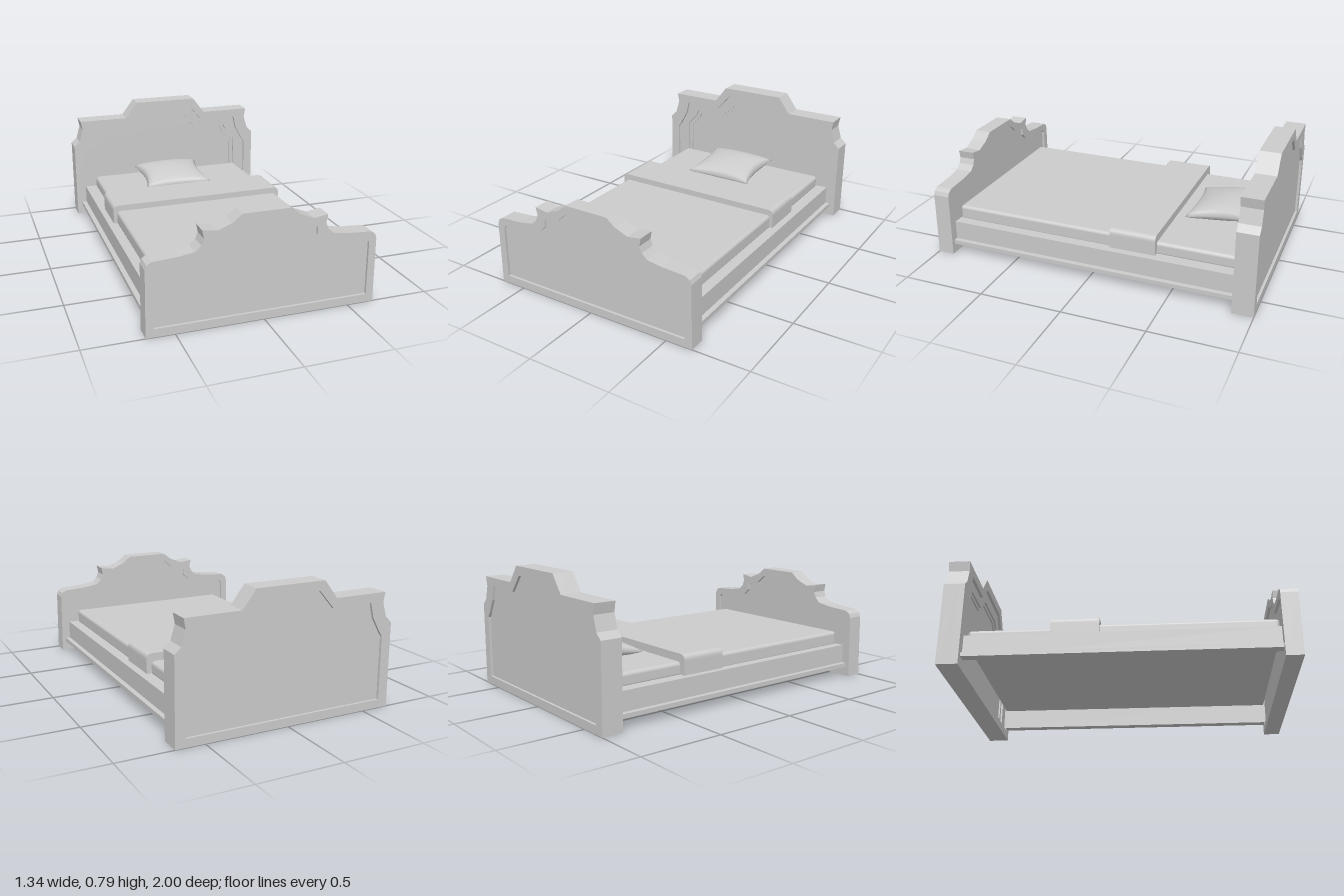
import * as THREE from 'three';
import { RoundedBoxGeometry } from 'three/addons/geometries/RoundedBoxGeometry.js';
import { mergeVertices } from 'three/addons/utils/BufferGeometryUtils.js';

const material = new THREE.MeshStandardMaterial({ color: 0xcccccc });

function addMesh(parent, name, geometry, x = 0, y = 0, z = 0, mat = material) {
  const mesh = new THREE.Mesh(geometry, mat);
  mesh.name = name;
  mesh.position.set(x, y, z);
  parent.add(mesh);
  return mesh;
}

// Mirror a half outline (bottom to top, x > 0) into a full closed loop
function mirrored(half) {
  const right = half.map(([x, y]) => new THREE.Vector2(x, y));
  const left = half.map(([x, y]) => new THREE.Vector2(-x, y)).reverse();
  return [...right, ...left];
}

// Board made of stacked layers [z0, z1, hole outline or null]
function board(name, outline, layers) {
  const group = new THREE.Group();
  group.name = name;
  for (const [z0, z1, hole] of layers) {
    const shape = new THREE.Shape(mirrored(outline));
    if (hole) shape.holes.push(new THREE.Path(mirrored(hole)));
    const geometry = new THREE.ExtrudeGeometry(shape, { depth: z1 - z0, bevelEnabled: false });
    addMesh(group, hole ? name + 'Frame' : name + 'Panel', geometry, 0, 0, z0);
  }
  return group;
}

// Cushion: two puffed sheets with pulled-out corners, flattened underneath
function pillowGeometry(width, depth, floor) {
  const n = 28, positions = [], index = [];
  for (const side of [1, -1]) {
    const base = positions.length / 3;
    for (let j = 0; j <= n; j++) {
      for (let i = 0; i <= n; i++) {
        const u = (i / n) * 2 - 1, v = (j / n) * 2 - 1;
        const x = u * (width / 2) * (1 - 0.13 * (1 - v * v));
        const z = v * (depth / 2) * (1 - 0.09 * (1 - u * u));
        const puff = Math.pow((1 - u * u) * (1 - v * v), 0.42);
        const seam = 0.312 - 0.022 * v;
        const y = seam + side * puff * (0.062 - 0.008 * v);
        positions.push(x, Math.max(y, floor), z);
      }
    }
    for (let j = 0; j < n; j++) {
      for (let i = 0; i < n; i++) {
        const a = base + j * (n + 1) + i, b = a + 1, c = a + n + 1, d = c + 1;
        if (side > 0) index.push(a, c, b, b, c, d);
        else index.push(a, b, c, b, d, c);
      }
    }
  }
  let geometry = new THREE.BufferGeometry();
  geometry.setAttribute('position', new THREE.Float32BufferAttribute(positions, 3));
  geometry.setIndex(index);
  geometry = mergeVertices(geometry, 1e-5);
  geometry.computeVertexNormals();
  return geometry;
}

export function createModel() {
  const bed = new THREE.Group();
  bed.name = 'bed';

  // Headboard with a stepped, recessed front and a plain recessed back
  const headOutline = [[0.67, 0], [0.67, 0.5], [0.632, 0.535], [0.607, 0.62], [0.618, 0.68], [0.29, 0.68], [0.21, 0.785]];
  const headOuter = [[0.61, 0.05], [0.61, 0.425], [0.59, 0.455], [0.543, 0.54], [0.523, 0.626], [0.27, 0.626], [0.18, 0.73]];
  const headMiddle = [[0.53, 0.08], [0.53, 0.46], [0.465, 0.53], [0.45, 0.57], [0.24, 0.57], [0.14, 0.664]];
  const headInner = [[0.505, 0.1], [0.505, 0.455], [0.445, 0.51], [0.425, 0.552], [0.23, 0.552], [0.13, 0.645]];
  bed.add(board('headboard', headOutline, [
    [-1, -0.985, headOuter],
    [-0.985, -0.915, null],
    [-0.915, -0.905, headInner],
    [-0.905, -0.893, headMiddle],
    [-0.893, -0.875, headOuter],
  ]));

  // Footboard, recessed on both faces
  const footOutline = [[0.66, 0], [0.655, 0.385], [0.645, 0.41], [0.62, 0.427], [0.48, 0.436], [0.39, 0.45], [0.357, 0.48],
    [0.343, 0.515], [0.352, 0.562], [0.27, 0.55], [0.19, 0.582], [0.135, 0.625]];
  const footInner = [[0.615, 0.048], [0.612, 0.365], [0.59, 0.384], [0.43, 0.4], [0.335, 0.417], [0.295, 0.455],
    [0.295, 0.497], [0.195, 0.522], [0.14, 0.57]];
  bed.add(board('footboard', footOutline, [
    [0.9, 0.915, footInner],
    [0.915, 0.985, null],
    [0.985, 1, footInner],
  ]));

  // Side rails with a ledge along the bottom
  const railLength = 1.775, railZ = 0.0125;
  for (const side of [1, -1]) {
    const name = side > 0 ? 'left' : 'right';
    addMesh(bed, name + 'Rail', new THREE.BoxGeometry(0.025, 0.14, railLength), side * 0.5925, 0.13, railZ);
    addMesh(bed, name + 'RailLedge', new THREE.BoxGeometry(0.03, 0.025, railLength), side * 0.62, 0.0725, railZ);
  }

  // Base under the mattress
  addMesh(bed, 'base', new THREE.BoxGeometry(1.16, 0.015, railLength), 0, 0.1915, railZ);

  // Mattress and the cover drawn over it
  addMesh(bed, 'mattress', new RoundedBoxGeometry(1.06, 0.085, 0.8, 4, 0.022), 0, 0.2285, -0.476);
  addMesh(bed, 'cover', new RoundedBoxGeometry(1.085, 0.095, 1.2, 4, 0.02), -0.003, 0.2325, 0.3);

  // Folded blanket band draped across the bed
  const w = 0.565, r = 0.035, top = 0.318;
  const band = new THREE.Shape();
  band.moveTo(-w, 0.2);
  band.lineTo(w, 0.2);
  band.lineTo(w, top - r);
  band.quadraticCurveTo(w, top, w - r, top);
  band.lineTo(-w + r, top);
  band.quadraticCurveTo(-w, top, -w, top - r);
  const bandGeometry = new THREE.ExtrudeGeometry(band, { depth: 0.28, bevelEnabled: false, curveSegments: 8 });
  addMesh(bed, 'foldedBlanket', bandGeometry, -0.004, 0, -0.392);

  // Pillow
  addMesh(bed, 'pillow', pillowGeometry(0.46, 0.37, 0.268), -0.028, 0, -0.638);

  return bed;
}
